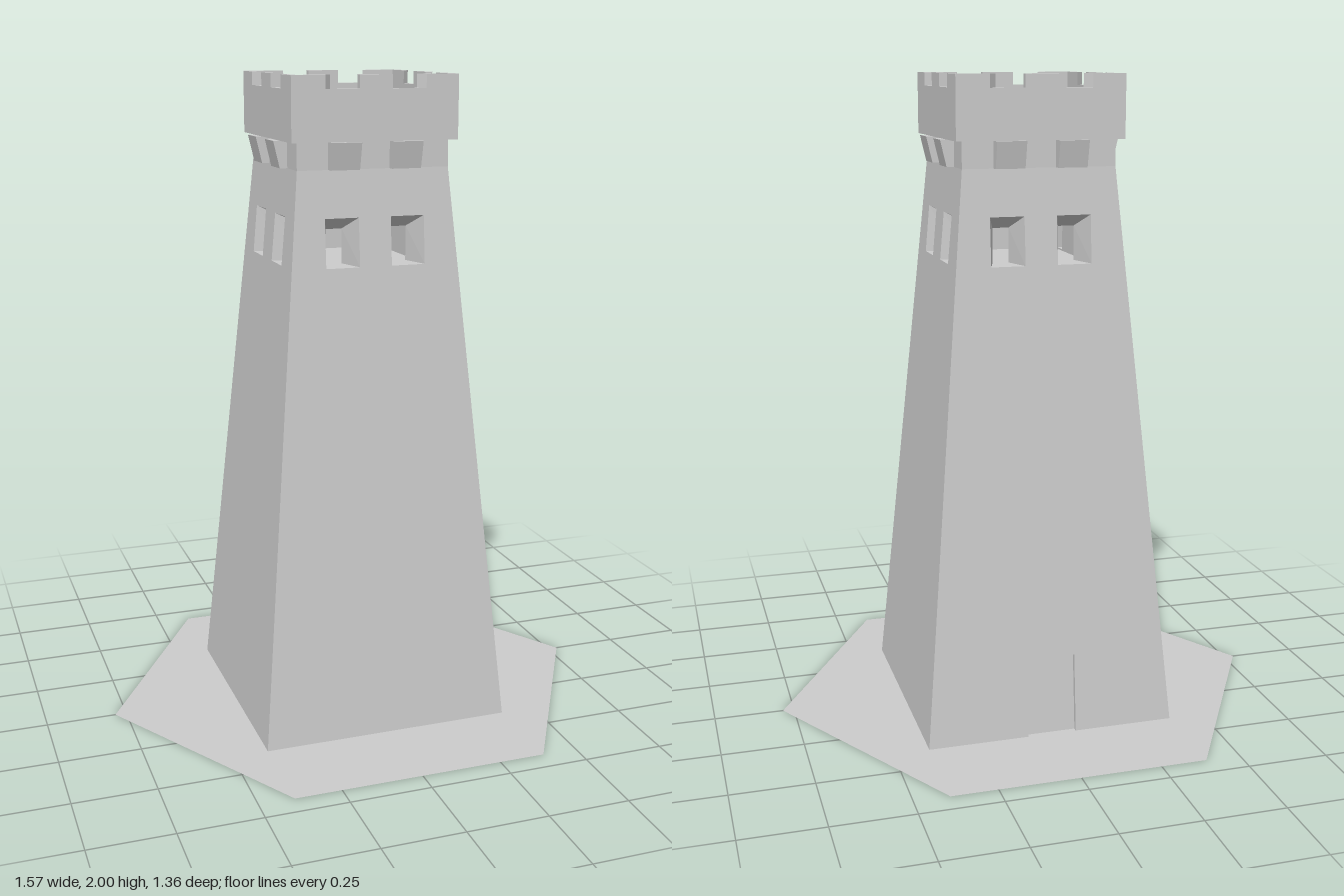
import * as THREE from 'three';

const material = new THREE.MeshStandardMaterial({ color: 0xcccccc, flatShading: true, side: THREE.DoubleSide });

const NECK_Y = 1.73, PARAPET_Y = 1.81, TOP_Y = 2, DECK_Y = 1.9;
const BASE = 0.39, NECK = 0.235, RIM = 0.257, ROOM = 0.17;
const wallZ = (y) => Math.max(NECK, BASE - ((BASE - NECK) * y) / NECK_Y);

function part(name, geometry, parent) {
  const mesh = new THREE.Mesh(geometry, material);
  mesh.name = name;
  parent.add(mesh);
  return mesh;
}

const rect = (x0, x1, y0, y1) => [[x0, y0], [x1, y0], [x1, y1], [x0, y1]];
const toShape = (points) => new THREE.Shape(points.map(([x, y]) => new THREE.Vector2(x, y)));

// Flat panel with holes, each vertex placed at depth z(y)
function panel(outline, holes, z) {
  const shape = toShape(outline);
  holes.forEach((hole) => shape.holes.push(toShape(hole)));
  const geometry = new THREE.ShapeGeometry(shape);
  const p = geometry.attributes.position;
  for (let i = 0; i < p.count; i++) p.setZ(i, z(p.getY(i)));
  geometry.computeVertexNormals();
  return geometry;
}

// Band of quads joining two outlines, lining an opening
function lining(outer, outerZ, inner, innerZ) {
  const v = [];
  outer.forEach((a, i) => {
    const j = (i + 1) % outer.length;
    const A = [...a, outerZ(a[1])], B = [...outer[j], outerZ(outer[j][1])];
    const C = [...inner[j], innerZ(inner[j][1])], D = [...inner[i], innerZ(inner[i][1])];
    v.push(...A, ...B, ...C, ...A, ...C, ...D);
  });
  const geometry = new THREE.BufferGeometry();
  geometry.setAttribute('position', new THREE.Float32BufferAttribute(v, 3));
  geometry.computeVertexNormals();
  return geometry;
}

// Parapet side with two notches, mitred at the corners and splayed at the notches
function parapetSide() {
  const notch = 1.96;
  const half = [[0.05, TOP_Y], [0.05, notch], [0.155, notch], [0.155, TOP_Y], [RIM, TOP_Y], [RIM, PARAPET_Y]];
  const mirrored = half.map(([x, y]) => [-x, y]).reverse();
  const geometry = new THREE.ExtrudeGeometry(toShape([...half, ...mirrored]), { depth: RIM - NECK, bevelEnabled: false });
  geometry.translate(0, 0, NECK);
  const p = geometry.attributes.position;
  for (let i = 0; i < p.count; i++) {
    const x = p.getX(i);
    if (p.getZ(i) < NECK + 0.001 && Math.abs(x) > 0.1) p.setX(i, x - Math.sign(x) * 0.022);
  }
  geometry.computeVertexNormals();
  return geometry;
}

// Corbel profile in depth and height, extruded across the wall
function corbelGeometry() {
  const profile = toShape([[0.225, NECK_Y], [0.258, NECK_Y], [0.277, PARAPET_Y], [0.225, PARAPET_Y]]);
  const geometry = new THREE.ExtrudeGeometry(profile, { depth: 0.09, bevelEnabled: false });
  geometry.translate(0, 0, -0.045);
  return geometry.rotateY(-Math.PI / 2);
}

function towerSide(hasDoor) {
  const side = new THREE.Group();
  const signs = [-1, 1];
  const roomZ = () => ROOM;
  const outer = signs.map((s) => rect(s * 0.1025 - 0.0525, s * 0.1025 + 0.0525, 1.445, 1.59));
  const inner = signs.map((s) => rect(s * 0.1025 - 0.025, s * 0.1025 + 0.025, 1.445, 1.55));

  // Sloping wall, notched at the foot where the door stands
  const door = rect(-0.077, 0.077, 0, 0.245);
  const foot = hasDoor ? [door[0], door[3], door[2], door[1]] : [];
  const outline = [[-BASE, 0], ...foot, [BASE, 0], [NECK, NECK_Y], [-NECK, NECK_Y]];
  part('wall', panel(outline, outer, wallZ), side);
  part('neck', panel(rect(-NECK, NECK, NECK_Y, PARAPET_Y), [], wallZ), side);

  // Splayed windows and the room wall behind them
  signs.forEach((s, i) => part('windowReveal', lining(outer[i], wallZ, inner[i], roomZ), side));
  part('roomWall', panel(rect(-ROOM, ROOM, 1.44, PARAPET_Y), inner, roomZ), side);

  if (hasDoor) {
    const doorZ = (y) => wallZ(y) - 0.014;
    part('doorRecess', lining(door, wallZ, door, doorZ), side);
    part('door', panel(door, [], doorZ), side);
  }

  signs.forEach((s) => { part('corbel', corbelGeometry(), side).position.x = s * 0.095; });
  part('parapet', parapetSide(), side);
  return side;
}

export function createModel() {
  const model = new THREE.Group();
  model.name = 'watchtower';

  // Thin six-sided ground plate
  part('groundPlate', new THREE.CircleGeometry(0.785, 6).rotateX(-Math.PI / 2), model);

  // Four matching sides, the back one with a door
  ['front', 'left', 'back', 'right'].forEach((name, i) => {
    const side = towerSide(name === 'back');
    side.name = name + 'Side';
    side.rotation.y = (i * Math.PI) / 2;
    model.add(side);
  });

  // Horizontal surfaces: room floor, room ceiling and roof deck
  [['roomFloor', 1.44, ROOM], ['roomCeiling', PARAPET_Y, NECK], ['roofDeck', DECK_Y, NECK]].forEach(([name, y, half]) => {
    part(name, new THREE.PlaneGeometry(half * 2, half * 2).rotateX(-Math.PI / 2), model).position.y = y;
  });

  // Low hatch on the roof deck
  part('hatch', new THREE.BoxGeometry(0.1, 0.004, 0.07), model).position.set(0.015, DECK_Y + 0.002, -0.154);
  return model;
}
